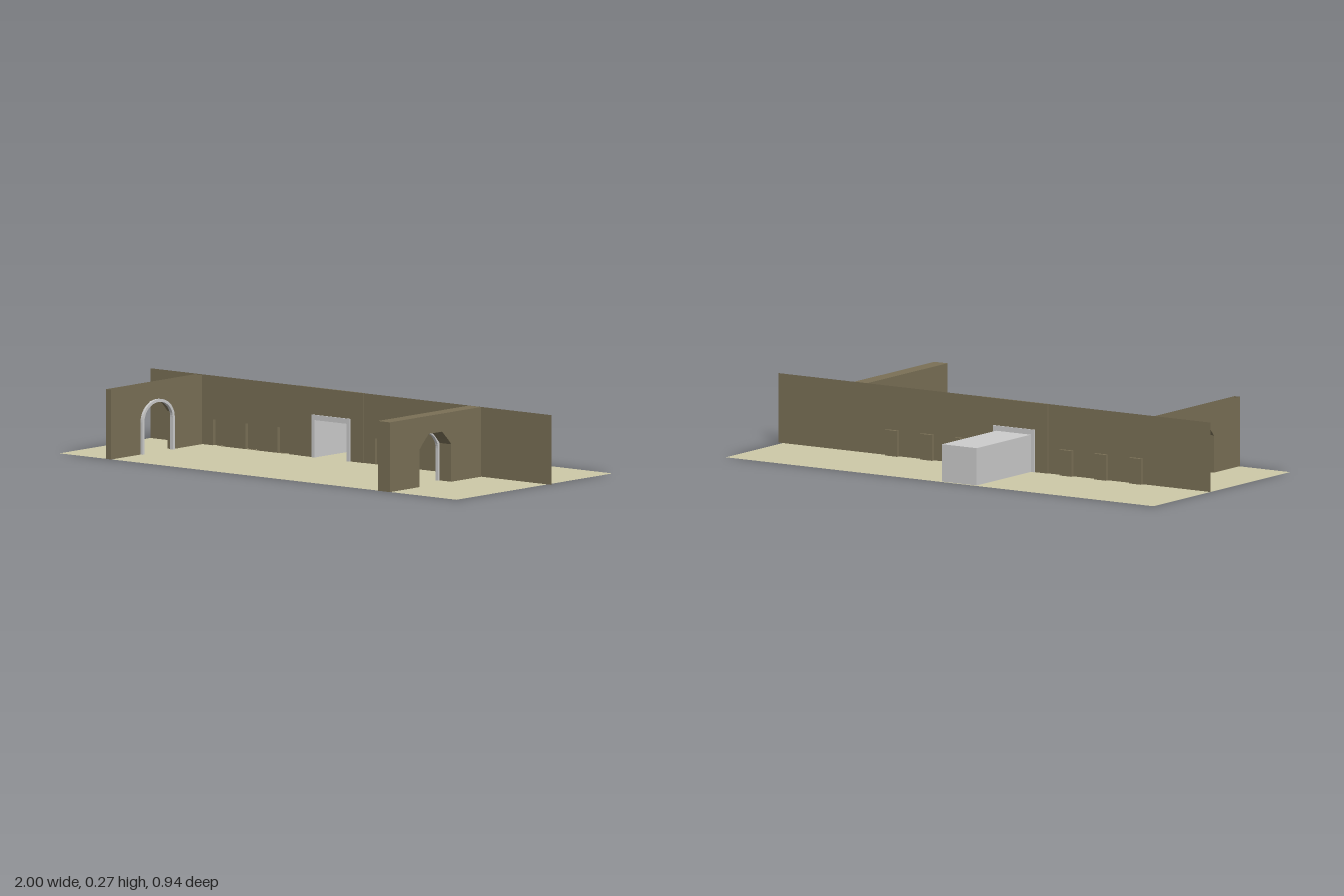
import * as THREE from 'three';

const H = 0.27; // wall height
const BACK = -0.08; // plane of the back wall

function makeMaterial(name, color) {
  const m = new THREE.MeshStandardMaterial({ color, side: THREE.DoubleSide });
  m.name = name;
  return m;
}

// Shape from a list of [u, v] corner points
const shapeOf = (pts) => new THREE.Shape(pts.map(([u, v]) => new THREE.Vector2(u, v)));

// Rectangle standing on the ground with notches [u0, u1, height] cut from below
function notched(u0, u1, height, notches) {
  const pts = [[u0, 0]];
  for (const [a, b, h] of notches) pts.push([a, 0], [a, h], [b, h], [b, 0]);
  pts.push([u1, 0], [u1, height], [u0, height]);
  return shapeOf(pts);
}

const extrude = (shape, depth) =>
  new THREE.ExtrudeGeometry(shape, { depth, bevelEnabled: false });

// Extrude a (z, y) profile across x from x0 to x1
function extrudeAcross(shape, x0, x1) {
  return extrude(shape, x1 - x0).rotateY(-Math.PI / 2).translate(x1, 0, 0);
}

// Drop the triangles for which test(a, b, c) is true
function dropFaces(geometry, test) {
  const g = geometry.index ? geometry.toNonIndexed() : geometry;
  const p = g.attributes.position;
  const kept = [];
  for (let i = 0; i < p.count; i += 3) {
    const tri = [0, 1, 2].map((k) => new THREE.Vector3().fromBufferAttribute(p, i + k));
    if (!test(...tri)) tri.forEach((v) => kept.push(v.x, v.y, v.z));
  }
  const out = new THREE.BufferGeometry();
  out.setAttribute('position', new THREE.Float32BufferAttribute(kept, 3));
  out.computeVertexNormals();
  return out;
}

export function createModel() {
  const group = new THREE.Group();
  const brown = makeMaterial('wall brown', 0x7a7056);
  const grey = makeMaterial('stone grey', 0xcccccc);
  const sand = makeMaterial('ground sand', 0xcdc9a8);

  const add = (name, geometry, material) => {
    const mesh = new THREE.Mesh(geometry, material);
    mesh.name = name;
    group.add(mesh);
    return mesh;
  };

  // Ground sheet
  add('ground', new THREE.PlaneGeometry(1.98, 0.935)
    .rotateX(-Math.PI / 2).translate(-0.01, 0, -0.0025), sand);

  // Thin back wall, pierced by niches on both sides of the centre panel
  const nicheH = 0.1;
  const niches = [-0.66, -0.4975, -0.3375, 0.1475, 0.3075, 0.47]
    .map((x) => [x - 0.028, x + 0.028, nicheH]);
  const spans = [['backWallRight', -1, -0.25], ['backWallLeft', 0.065, 1]];
  for (const [name, a, b] of spans) {
    const cuts = niches.filter((n) => n[0] > a && n[1] < b);
    add(name, new THREE.ShapeGeometry(notched(a, b, H, cuts)).translate(0, 0, BACK), brown);
  }

  // Niche pockets: boxes open to the front, standing out behind the wall
  for (const [a, b] of niches) {
    const box = new THREE.BoxGeometry(b - a, nicheH, 0.014)
      .translate((a + b) / 2, nicheH / 2, BACK - 0.007);
    add('niche', dropFaces(box, (...t) => t.every((v) => v.z > BACK - 0.001)), brown);
  }

  // Centre panel with the doorway and its stone frame
  add('centrePanel', extrude(notched(-0.25, 0.065, H, [[-0.188, -0.002, 0.164]]), 0.008)
    .translate(0, 0, BACK - 0.005), brown);
  const frame = notched(-0.19, 0, 0.165, [[-0.175, -0.015, 0.145]]);
  add('doorFrame', extrude(frame, 0.018).translate(0, 0, -0.09), grey);

  // Passage behind the doorway, open at the front and below
  const passage = new THREE.BoxGeometry(0.16, 0.145, 0.38).translate(-0.095, 0.0725, -0.27);
  add('passage', dropFaces(passage, (...t) =>
    t.every((v) => v.z > -0.081) || t.every((v) => v.y < 0.001)), grey);

  // Side walls, each with a faceted archway
  const arch = [[0.1, 0], [0.1, 0.145], [0.118, 0.165], [0.155, 0.2],
    [0.235, 0.2], [0.272, 0.165], [0.29, 0.145], [0.29, 0]];
  const sideShape = shapeOf([[-0.078, 0], ...arch, [0.468, 0], [0.468, H], [-0.078, H]]);
  add('leftSideWall', extrudeAcross(sideShape, 0.59, 0.65), brown);
  // The right side wall is hollow and open along its top
  add('rightSideWall', dropFaces(extrudeAcross(sideShape, -0.765, -0.74),
    (...t) => t.every((v) => v.y > H - 0.001)), brown);

  // Stone arch frames on the inner faces of the side walls
  const curve = (rz, spring, rise, dir) => Array.from({ length: 25 }, (_, i) => {
    const t = dir * (i / 24) * Math.PI;
    return [0.195 + dir * rz * Math.cos(t), spring + rise * Math.abs(Math.sin(t))];
  });
  const ring = shapeOf([[0.292, 0], ...curve(0.097, 0.125, 0.08, 1), [0.098, 0],
    [0.11, 0], ...curve(0.085, 0.125, 0.069, -1), [0.28, 0]]);
  add('leftArchFrame', extrudeAcross(ring, 0.58, 0.592), grey);
  add('rightArchFrame', extrudeAcross(ring, -0.743, -0.73), grey);

  return group;
}
